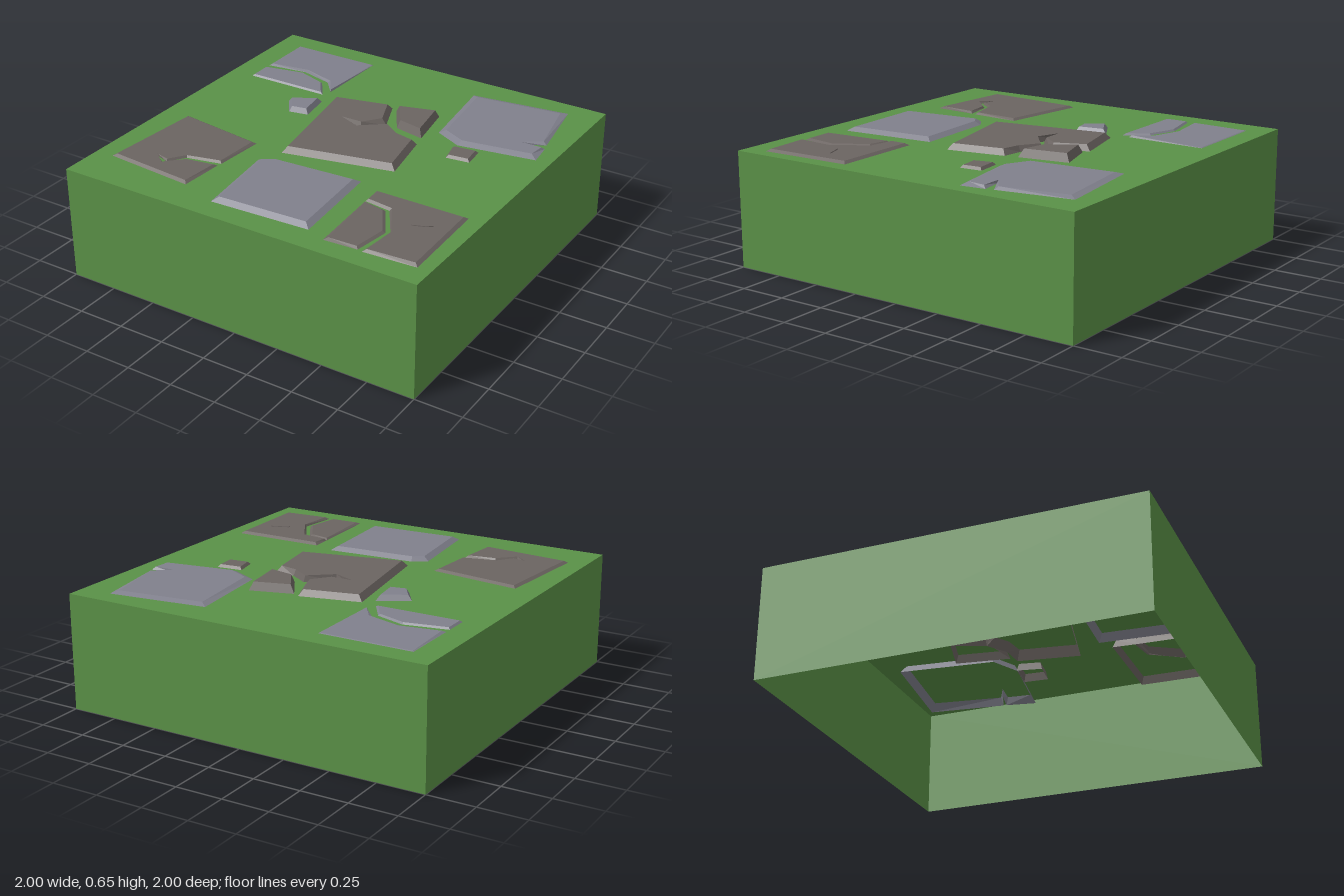
import * as THREE from 'three';

const GROUND = 0.61;

// Move each corner of a clockwise (seen from above) outline inward by its own width
function inset(points, widths) {
  const n = points.length;
  const normal = (a, b) => {
    const dx = b[0] - a[0], dz = b[1] - a[1], l = Math.hypot(dx, dz);
    return [-dz / l, dx / l];
  };
  return points.map((p, i) => {
    const a = normal(points[(i + n - 1) % n], p);
    const b = normal(p, points[(i + 1) % n]);
    const k = widths[i] / Math.max(0.4, 1 + a[0] * b[0] + a[1] * b[1]);
    return [p[0] + k * (a[0] + b[0]), p[1] + k * (a[1] + b[1])];
  });
}

// Flat paving stone: buried skirt, bevelled rim and flat top; tilt is the rise per unit z.
// A point's optional third value is its own bevel width, for cracks.
function slab(name, material, points, height, bevel, { tilt = 0, depth = 0.045 } = {}) {
  const n = points.length;
  const widths = points.map((p) => p[2] ?? bevel);
  const midZ = points.reduce((s, p) => s + p[1], 0) / n;
  const lower = inset(points, widths.map((w) => -0.8 * w));
  const upper = inset(points, widths);
  const topY = ([, z]) => GROUND + height + tilt * (z - midZ);
  const rings = [
    lower.map((p) => [p[0], GROUND - depth, p[1]]),
    points.map((p) => [p[0], GROUND, p[1]]),
    upper.map((p) => [p[0], topY(p), p[1]]),
  ];
  const pos = [];
  const tri = (a, b, c) => pos.push(...a, ...b, ...c);
  for (let r = 0; r < 2; r++) {
    for (let i = 0; i < n; i++) {
      const j = (i + 1) % n;
      const [a, b, c, d] = [rings[r][i], rings[r][j], rings[r + 1][j], rings[r + 1][i]];
      tri(a, c, b);
      tri(a, d, c);
    }
  }
  const flat = upper.map((p) => new THREE.Vector2(p[0], p[1]));
  for (const [a, b, c] of THREE.ShapeUtils.triangulateShape(flat, [])) {
    tri(rings[2][a], rings[2][c], rings[2][b]);
  }
  const geometry = new THREE.BufferGeometry();
  geometry.setAttribute('position', new THREE.Float32BufferAttribute(pos, 3));
  geometry.computeVertexNormals();
  const mesh = new THREE.Mesh(geometry, material);
  mesh.name = name;
  return mesh;
}

export function createModel() {
  const group = new THREE.Group();
  group.name = 'pavedGround';
  const make = (name, color) => {
    const m = new THREE.MeshStandardMaterial({ color, side: THREE.DoubleSide });
    m.name = name;
    return m;
  };
  const grass = make('grassGreen', 0x5a9147);
  const grey = make('blueGreyStone', 0x80808c);
  const brown = make('brownStone', 0x6b6461);

  // Grass block, hollow and open underneath
  const box = new THREE.BoxGeometry(2, GROUND, 2);
  const faces = Array.from(box.index.array);
  faces.splice(18, 6);
  box.setIndex(faces);
  box.clearGroups();
  const block = new THREE.Mesh(box, grass);
  block.position.y = GROUND / 2;
  block.name = 'grassBlock';
  group.add(block);

  const c = 0.008; // bevel width inside cracks
  group.add(
    // Middle: cracked stone and the piece broken off it
    slab('centreStone', brown, [
      [-0.31, -0.38], [0.01, -0.455], [0.085, -0.265], [-0.01, -0.165, 0.012], [-0.13, -0.175, c],
      [-0.015, -0.135, c], [0.11, -0.245, 0.015], [0.215, -0.175, 0.015], [0.33, -0.16],
      [0.385, 0.155], [-0.2, 0.285],
    ], 0.031, 0.024, { depth: 0.06 }),
    slab('centreFragment', brown,
      [[0.045, -0.435], [0.27, -0.5], [0.315, -0.23], [0.15, -0.265]], 0.043, 0.017),
    slab('smallBrownStone', brown,
      [[0.5, -0.23], [0.64, -0.245], [0.65, -0.125], [0.525, -0.11]], 0.014, 0.012),
    slab('smallGreyStone', grey,
      [[-0.51, -0.24], [-0.355, -0.325], [-0.33, -0.15], [-0.435, -0.13]], 0.027, 0.016),

    // Back corners
    slab('backLeftStone', grey, [
      [0.3, -0.83], [0.83, -0.895], [0.895, -0.5, 0.02], [0.785, -0.445, c],
      [0.905, -0.46, 0.015], [0.92, -0.325], [0.51, -0.26], [0.36, -0.335],
    ], 0.014, 0.034, { tilt: 0.008 }),
    slab('backRightStone', grey, [
      [-0.865, -0.88], [-0.37, -0.88], [-0.38, -0.45, c], [-0.46, -0.545, 0.015],
      [-0.64, -0.595, 0.02], [-0.865, -0.565, 0.015],
    ], 0.007, 0.006, { tilt: 0.02 }),
    slab('backRightFragment', grey, [
      [-0.865, -0.53], [-0.64, -0.575], [-0.48, -0.52], [-0.4, -0.4], [-0.865, -0.4],
    ], 0.009, 0.009),

    // Front row
    slab('frontRightStone', brown, [
      [-0.855, 0.2], [-0.365, 0.27], [-0.385, 0.545, 0.013], [-0.57, 0.585, c], [-0.63, 0.67, c],
      [-0.705, 0.645, 0.004], [-0.64, 0.69, c], [-0.555, 0.605, c], [-0.39, 0.57, 0.013],
      [-0.405, 0.81], [-0.9, 0.765],
    ], 0.011, 0.017),
    slab('frontMiddleStone', grey, [
      [-0.255, 0.41], [-0.18, 0.36], [0.3, 0.33], [0.34, 0.855], [-0.2, 0.88],
    ], 0.02, 0.03),
    slab('frontLeftStone', brown, [
      [0.415, 0.37], [0.915, 0.37], [0.93, 0.875], [0.65, 0.89, 0.015], [0.675, 0.68, c],
      [0.565, 0.505, 0.012], [0.42, 0.485, 0.012],
    ], 0.012, 0.018),
    slab('frontLeftFragment', brown, [
      [0.42, 0.49, 0.012], [0.55, 0.515, 0.015], [0.655, 0.69, 0.015], [0.625, 0.885, 0.015],
      [0.445, 0.895],
    ], 0.009, 0.018),
    // Thin chip standing on the front left stone
    slab('stoneChip', brown,
      [[0.725, 0.575], [0.825, 0.542], [0.795, 0.565], [0.73, 0.588]], 0.016, 0.002, { depth: 0 }),
  );
  return group;
}
